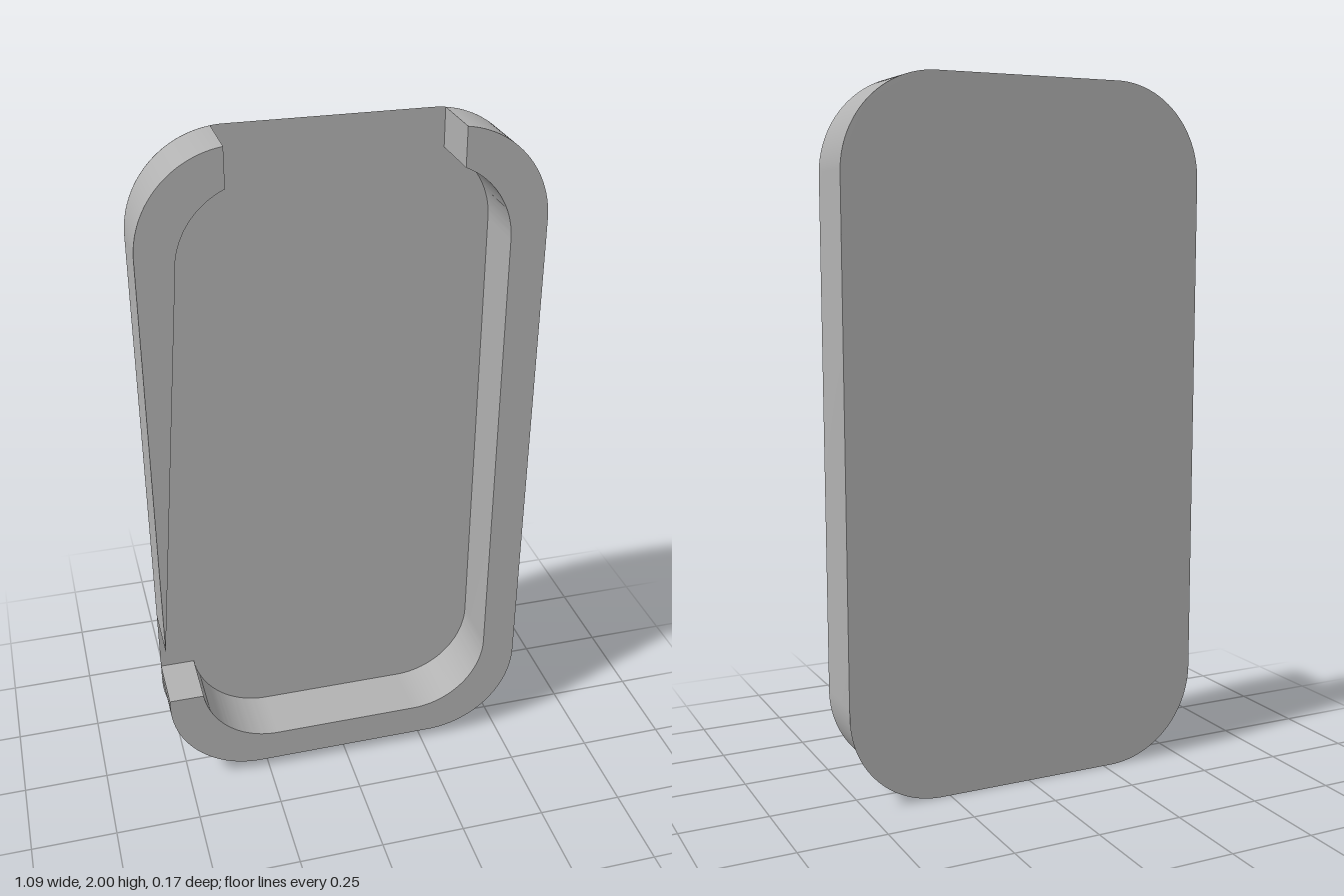
import * as THREE from 'three';
import { toCreasedNormals } from 'three/addons/utils/BufferGeometryUtils.js';

const W = 0.545, R = 0.27;          // outer half width and corner radius
const T = 0.1, r = 0.225;           // rim thickness and inner corner radius
const I = W - T;                    // inner half width
const BACK = -0.087, FRONT = 0.087;
const BASE = 0.03, TOP = 2;         // rim bottom and top
const INNER_BASE = 0.13, INNER_TOP = 1.91;
const NOTCH_X = 0.31;               // half width of the top opening
const SLOT_LOW = 0.325, SLOT_HIGH = 0.515; // side opening

export function createModel() {
  const group = new THREE.Group();
  const grey = new THREE.MeshStandardMaterial({ color: 0xb2b2b2, side: THREE.DoubleSide });
  grey.name = 'grey';

  const add = (name, geometry) => {
    const mesh = new THREE.Mesh(geometry, grey);
    mesh.name = name;
    group.add(mesh);
  };

  // Extrude a rim outline to full depth, smooth around the corners
  const rim = (shape) => {
    const g = new THREE.ExtrudeGeometry(shape, { depth: FRONT - BACK - 0.001, bevelEnabled: false, curveSegments: 20 });
    g.translate(0, 0, BACK + 0.001);
    return toCreasedNormals(g, 0.5);
  };

  // Thin back sheet, reaching a little lower than the rim
  const sheet = new THREE.Shape();
  sheet.absarc(W - R, R, R, -Math.PI / 2, 0);
  sheet.absarc(W - R, TOP - R, R, 0, Math.PI / 2);
  sheet.absarc(R - W, TOP - R, R, Math.PI / 2, Math.PI);
  sheet.absarc(R - W, R, R, Math.PI, Math.PI * 1.5);
  sheet.closePath();
  const back = new THREE.ShapeGeometry(sheet, 20);
  back.rotateY(Math.PI); // outward face to the rear
  back.translate(0, 0, BACK);
  add('backSheet', back);

  // Angles where the openings cut the corner arcs
  const outerCut = Math.acos((NOTCH_X - W + R) / R);
  const innerCut = Math.acos((NOTCH_X - I + r) / r);
  const lowCut = (y, radius, base) => Math.PI + Math.asin(Math.max(0, base + radius - y) / radius);

  // Long rim: left side, bottom, and up to the side opening
  const long = new THREE.Shape();
  long.absarc(R - W, BASE + R, R, Math.PI * 1.5, Math.PI, true);
  long.lineTo(-W, SLOT_LOW);
  long.absarc(r - I, INNER_BASE + r, r, lowCut(SLOT_LOW, r, INNER_BASE), Math.PI * 1.5);
  long.absarc(I - r, INNER_BASE + r, r, Math.PI * 1.5, Math.PI * 2);
  long.absarc(I - r, INNER_TOP - r, r, 0, innerCut);
  long.absarc(W - R, TOP - R, R, outerCut, 0, true);
  long.absarc(W - R, BASE + R, R, Math.PI * 2, Math.PI * 1.5, true);
  long.closePath();
  add('longRim', rim(long));

  // Short rim: right side between the side and top openings
  const short = new THREE.Shape();
  short.moveTo(-I, SLOT_HIGH);
  short.absarc(r - I, INNER_TOP - r, r, Math.PI, Math.PI - innerCut, true);
  short.absarc(R - W, TOP - R, R, Math.PI - outerCut, Math.PI);
  short.lineTo(-W, SLOT_HIGH);
  short.closePath();
  add('shortRim', rim(short));

  return group;
}
